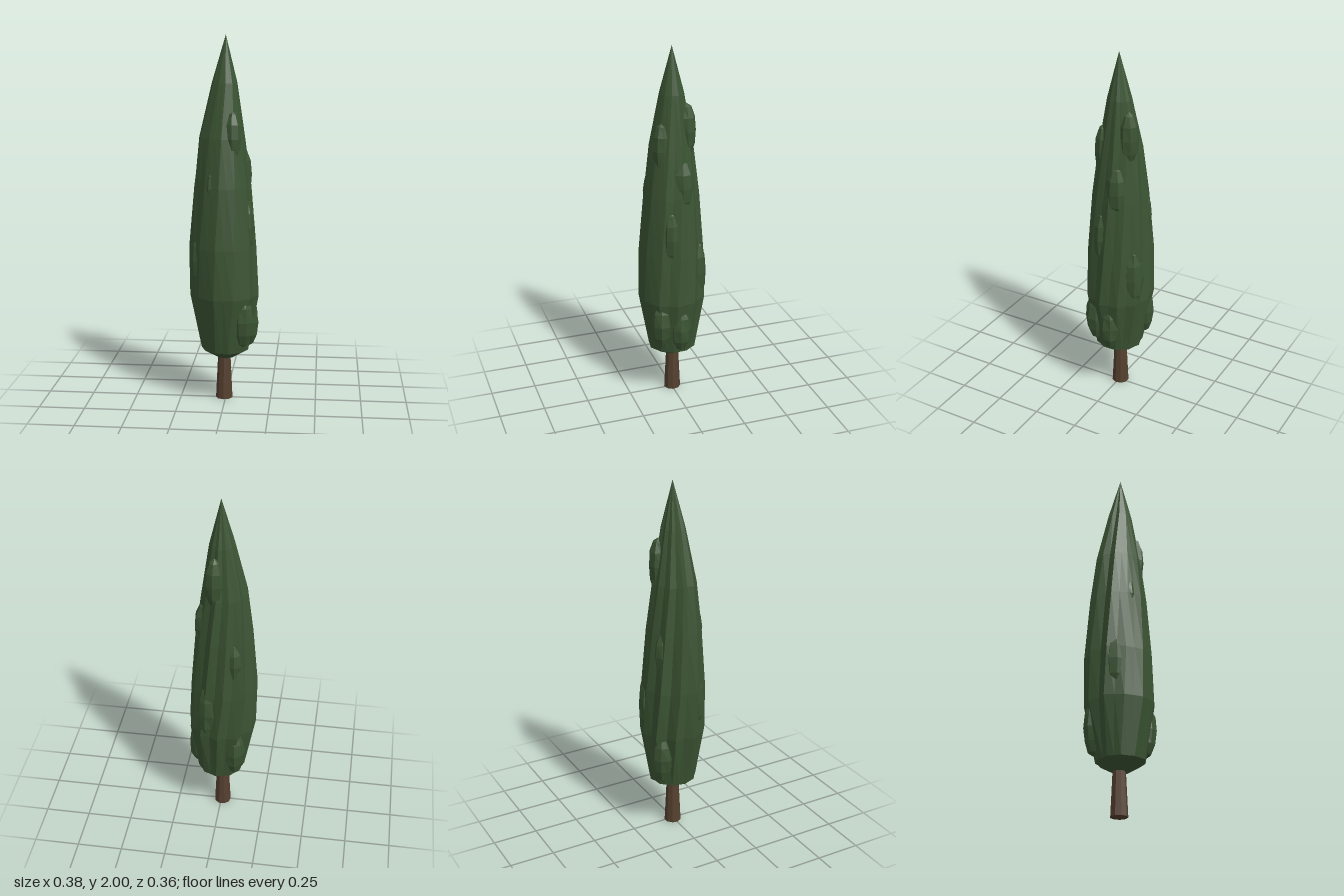
import * as THREE from 'three';

const SIDES = 22;

// Repeatable noise in 0..1
function noise(a, b) {
  const s = Math.sin(a * 127.1 + b * 311.7) * 43758.5453;
  return s - Math.floor(s);
}

function material(color) {
  return new THREE.MeshStandardMaterial({ color, flatShading: true });
}

// Crown: a lathed spindle whose sides are fluted, with ridges that twist upwards
function foliageGeometry() {
  // radius, height, sideways drift of the centre
  const rings = [
    [0.001, 0.235, 0], [0.045, 0.24, 0], [0.133, 0.29, 0], [0.194, 0.6, 0],
    [0.188, 0.87, -0.012], [0.16, 1.2, -0.014], [0.127, 1.46, -0.017],
    [0.07, 1.75, -0.004], [0.0005, 2, 0],
  ];
  const points = rings.map(([r, y]) => new THREE.Vector2(r, y));
  const geometry = new THREE.LatheGeometry(points, SIDES);
  const pos = geometry.attributes.position;
  for (let i = 0; i < pos.count; i++) {
    const row = i % rings.length;
    const side = Math.floor(i / rings.length) % SIDES;
    const inner = row < 2 ? 0 : row === 2 ? 0.05 : 0.09;
    const flute = 1.02 - (side % 2) * inner - noise(side, row > 2 ? 1 : 0) * inner;
    const angle = (side / SIDES) * Math.PI * 2 + row * 0.1;
    const r = rings[row][0] * flute;
    pos.setXYZ(i, Math.sin(angle) * r + rings[row][2], rings[row][1], Math.cos(angle) * r);
  }
  return geometry.toNonIndexed();
}

// Tuft: a small, slightly uneven low-poly ellipsoid
function tuftGeometry(seed) {
  const geometry = new THREE.SphereGeometry(1, 8, 6);
  const pos = geometry.attributes.position;
  for (let i = 0; i < pos.count; i++) {
    const col = (i % 9) % 8;
    const row = Math.floor(i / 9);
    const k = row === 0 || row === 6 ? 1 : 0.9 + noise(col + seed, row) * 0.14;
    pos.setXYZ(i, pos.getX(i) * k, pos.getY(i), pos.getZ(i) * k);
  }
  return geometry.toNonIndexed();
}

export function createModel() {
  const tree = new THREE.Group();
  tree.name = 'cypressTree';
  const green = material(0x3b5433);

  const trunk = new THREE.Mesh(new THREE.CylinderGeometry(0.034, 0.047, 0.27, 9), material(0x55402f));
  trunk.name = 'trunk';
  trunk.position.set(-0.008, 0.135, -0.004);
  tree.add(trunk);

  const foliage = new THREE.Mesh(foliageGeometry(), green);
  foliage.name = 'foliage';
  tree.add(foliage);

  // x, y, z, half width, half height
  const tufts = [
    [0.04, 1.46, 0.068, 0.052, 0.15],
    [0.025, 1.55, -0.07, 0.056, 0.15],
    [0.078, 1.26, -0.03, 0.065, 0.15],
    [0.125, 0.44, -0.01, 0.06, 0.14],
    [0.1, 0.47, 0.09, 0.06, 0.15],
    [-0.06, 1.2, 0.09, 0.05, 0.13],
    [-0.09, 1.36, -0.01, 0.05, 0.15],
    [-0.08, 1.08, -0.1, 0.052, 0.14],
    [-0.09, 0.47, -0.11, 0.058, 0.15],
    [-0.13, 0.8, 0.06, 0.06, 0.17],
    [0.11, 0.98, 0.04, 0.05, 0.16],
    [0.06, 0.75, -0.12, 0.06, 0.18],
  ];
  const tuftGroup = new THREE.Group();
  tuftGroup.name = 'foliageTufts';
  tufts.forEach(([x, y, z, w, h], i) => {
    const tuft = new THREE.Mesh(tuftGeometry(i * 3), green);
    tuft.name = 'tuft' + (i + 1);
    tuft.position.set(x, y, z);
    tuft.scale.set(w, h, w);
    tuft.rotation.y = i * 0.7;
    tuftGroup.add(tuft);
  });
  tree.add(tuftGroup);
  return tree;
}
